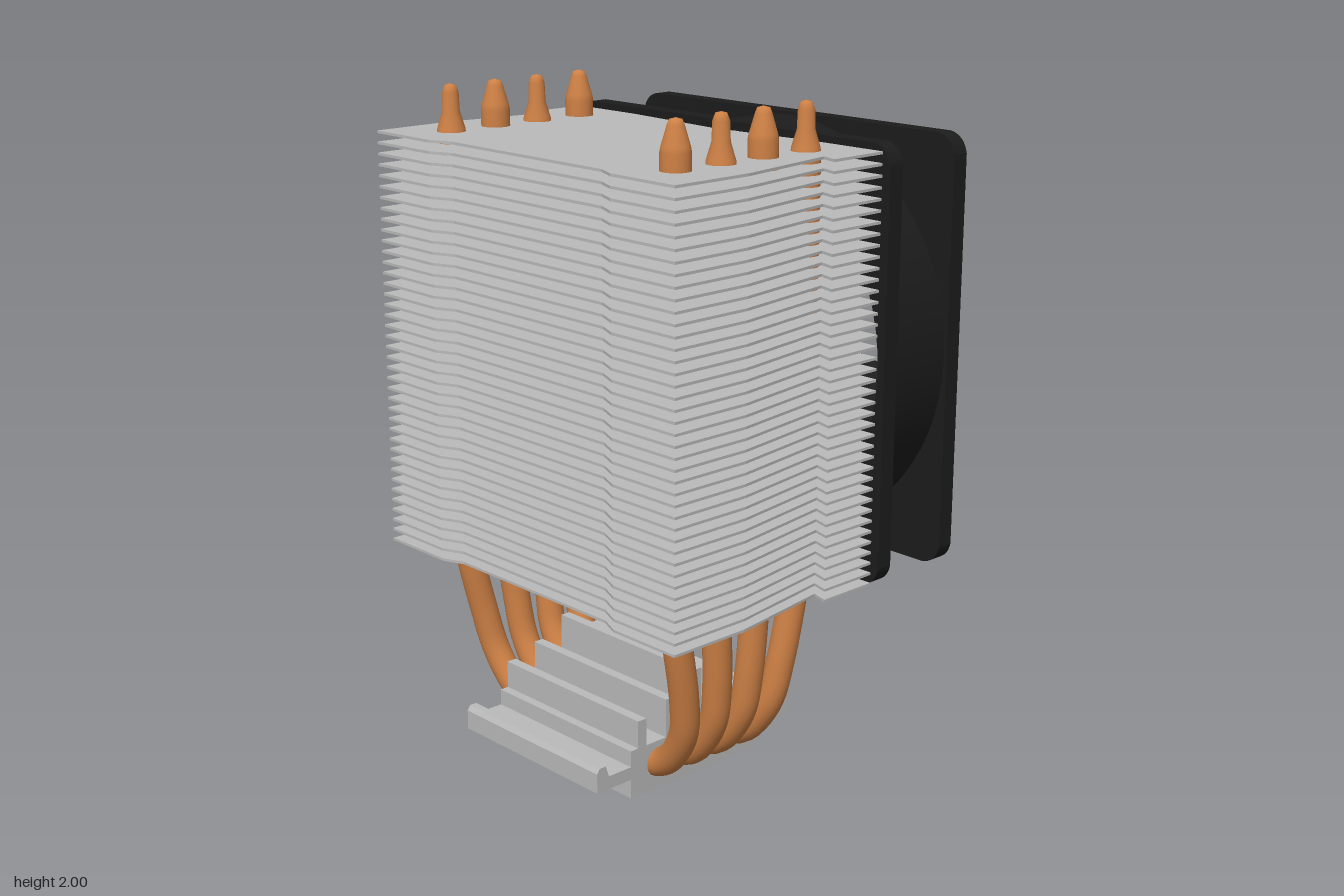
import * as THREE from 'three';

const mat = (name, color, side = THREE.FrontSide) => {
  const m = new THREE.MeshStandardMaterial({ color, side });
  m.name = name;
  return m;
};

const shapeFrom = (pts) => new THREE.Shape(pts.map(([x, y]) => new THREE.Vector2(x, y)));

export function createModel() {
  const root = new THREE.Group();
  root.name = 'towerCooler';
  const aluminium = mat('aluminium', 0xbababa);
  const copper = mat('copper', 0xcd8045);
  const black = mat('blackPlastic', 0x1c1c1c, THREE.DoubleSide);

  const add = (parent, name, geometry, material, x = 0, y = 0, z = 0) => {
    const m = new THREE.Mesh(geometry, material);
    m.name = name;
    m.position.set(x, y, z);
    parent.add(m);
    return m;
  };

  // Stack of thin cooling fins, outline given as [x, z]
  const finOutline = [
    [-0.64, 0.563], [-0.39, 0.563], [-0.32, 0.535], [0.32, 0.535], [0.385, 0.563], [0.63, 0.563],
    [0.63, 0.3], [0.578, -0.04], [0.63, -0.025], [0.63, -0.222], [0.38, -0.222], [0, -0.19],
    [-0.39, -0.222], [-0.64, -0.222], [-0.64, -0.025], [-0.588, -0.04], [-0.64, 0.3],
  ];
  const finGeo = new THREE.ExtrudeGeometry(shapeFrom(finOutline.map(([x, z]) => [x, -z])), { depth: 0.008, bevelEnabled: false });
  finGeo.rotateX(-Math.PI / 2);
  const fins = new THREE.Group();
  fins.name = 'coolingFins';
  root.add(fins);
  const finCount = 40;
  for (let i = 0; i < finCount; i++) {
    add(fins, 'fin', finGeo, aluminium, 0, 0.588 + (i * 1.265) / (finCount - 1), 0);
  }

  // Base block with clamp wings and upright ribs, profile given as [z, y]
  const profile = [
    [-0.10, 0], [0.42, 0], [0.42, 0.06], [0.55, 0.06], [0.55, 0.12], [0.54, 0.135], [0.517, 0.135],
    [0.505, 0.1], [0.42, 0.1], [0.42, 0.15],
  ];
  const ribs = [[0.375, 0.235], [0.265, 0.27], [0.155, 0.33], [0.03, 0.27], [-0.06, 0.2]];
  for (const [z, top] of ribs) {
    profile.push([z + 0.016, 0.15], [z + 0.016, top], [z - 0.016, top], [z - 0.016, 0.15]);
  }
  profile.push([-0.10, 0.15], [-0.10, 0.1], [-0.19, 0.1], [-0.202, 0.135], [-0.225, 0.135],
    [-0.235, 0.12], [-0.235, 0.06], [-0.10, 0.06]);
  const baseGeo = new THREE.ExtrudeGeometry(shapeFrom(profile), { depth: 0.6, bevelEnabled: false });
  baseGeo.rotateY(-Math.PI / 2);
  add(root, 'baseBlock', baseGeo, aluminium, 0.295, 0, 0);

  // U-shaped heat pipes with crimped and drawn tips
  const lathe = (pts, n = 20) => new THREE.LatheGeometry(pts.map(([r, y]) => new THREE.Vector2(r, y)), n);
  const bluntTip = lathe([[0.043, 0], [0.043, 0.06], [0.04, 0.075], [0.024, 0.13], [0.018, 0.145], [0, 0.15]]);
  const thinTip = lathe([[0.043, 0], [0.041, 0.02], [0.026, 0.07], [0.024, 0.125], [0.016, 0.146], [0, 0.15]]);
  const zTop = [0.413, 0.248, 0.088, -0.08];
  const zLow = [0.313, 0.207, 0.1, -0.005];
  zTop.forEach((zt, i) => {
    const zb = zLow[i];
    const mix = (t) => zb + (zt - zb) * t;
    const half = [
      [0.15, 0.08, 0], [0.29, 0.082, 0], [0.355, 0.12, 0.05], [0.425, 0.225, 0.2], [0.45, 0.35, 0.43],
      [0.465, 0.56, 0.87], [0.473, 0.7, 1], [0.473, 0.9, 1], [0.473, 1.4, 1], [0.473, 1.85, 1],
    ];
    const path = [
      ...half.slice().reverse().map(([x, y, t]) => new THREE.Vector3(-x - 0.007, y, mix(t))),
      ...half.map(([x, y, t]) => new THREE.Vector3(x, y, mix(t))),
    ];
    const curve = new THREE.CatmullRomCurve3(path, false, 'centripetal');
    const pipe = new THREE.Group();
    pipe.name = 'heatPipe';
    root.add(pipe);
    add(pipe, 'pipeTube', new THREE.TubeGeometry(curve, 160, 0.043, 18), copper);
    const blunt = i % 2 === 0;
    add(pipe, 'leftPipeTip', blunt ? bluntTip : thinTip, copper, 0.473, 1.85, zt);
    add(pipe, 'rightPipeTip', blunt ? thinTip : bluntTip, copper, -0.48, 1.85, zt);
  });

  // Fan housing: two square flanges joined by a round duct
  const fan = new THREE.Group();
  fan.name = 'fan';
  fan.position.set(0, 1.23, 0);
  root.add(fan);
  const w = 0.65, c = 0.06;
  const flange = new THREE.Shape();
  flange.moveTo(-w + c, -w);
  flange.lineTo(w - c, -w);
  flange.quadraticCurveTo(w - 0.01, -w + 0.01, w, -w + c);
  flange.lineTo(w, w - c);
  flange.quadraticCurveTo(w - 0.01, w - 0.01, w - c, w);
  flange.lineTo(-w + c, w);
  flange.quadraticCurveTo(-w + 0.01, w - 0.01, -w, w - c);
  flange.lineTo(-w, -w + c);
  flange.quadraticCurveTo(-w + 0.01, -w + 0.01, -w + c, -w);
  const hole = new THREE.Path();
  hole.absarc(0, 0, 0.627, 0, Math.PI * 2, true);
  flange.holes.push(hole);
  const flangeGeo = new THREE.ExtrudeGeometry(flange, { depth: 0.055, bevelEnabled: false, curveSegments: 32 });
  add(fan, 'frontFlange', flangeGeo, black, 0, 0, -0.286);
  add(fan, 'backFlange', flangeGeo, black, 0, 0, -0.563);
  for (const [name, r] of [['ductOuterWall', 0.641], ['ductInnerWall', 0.627]]) {
    const g = new THREE.CylinderGeometry(r, r, 0.24, 64, 1, true);
    g.rotateX(Math.PI / 2);
    add(fan, name, g, black, 0, 0, -0.397);
  }

  // Hub with a rounded rear edge
  const hubGeo = lathe([[0, 0], [0.25, 0], [0.25, 0], [0.25, 0.19], [0.243, 0.212], [0.225, 0.225], [0.22, 0.226], [0, 0.226]], 48);
  hubGeo.rotateX(-Math.PI / 2);
  add(fan, 'fanHub', hubGeo, black, 0, 0, -0.265);

  // Seven twisted blades: wider and flatter towards the tip
  const bladeGeo = new THREE.PlaneGeometry(2, 1, 12, 10);
  const p = bladeGeo.attributes.position;
  for (let i = 0; i < p.count; i++) {
    const t = p.getX(i);
    const s = p.getY(i) + 0.5;
    const halfWidth = 0.062 + 0.052 * s;
    const tip = s * s * (0.012 * t * t + 0.045 * Math.pow(t, 8));
    p.setXYZ(i, 0.004 * s + t * halfWidth, 0.225 + 0.375 * s - tip,
      -0.385 + t * (0.085 - 0.03 * s) + 0.015 * (1 - t * t));
  }
  bladeGeo.computeVertexNormals();
  for (let i = 0; i < 7; i++) {
    add(fan, 'fanBlade', bladeGeo, black).rotation.z = THREE.MathUtils.degToRad(-5) + (i * Math.PI * 2) / 7;
  }

  return root;
}
